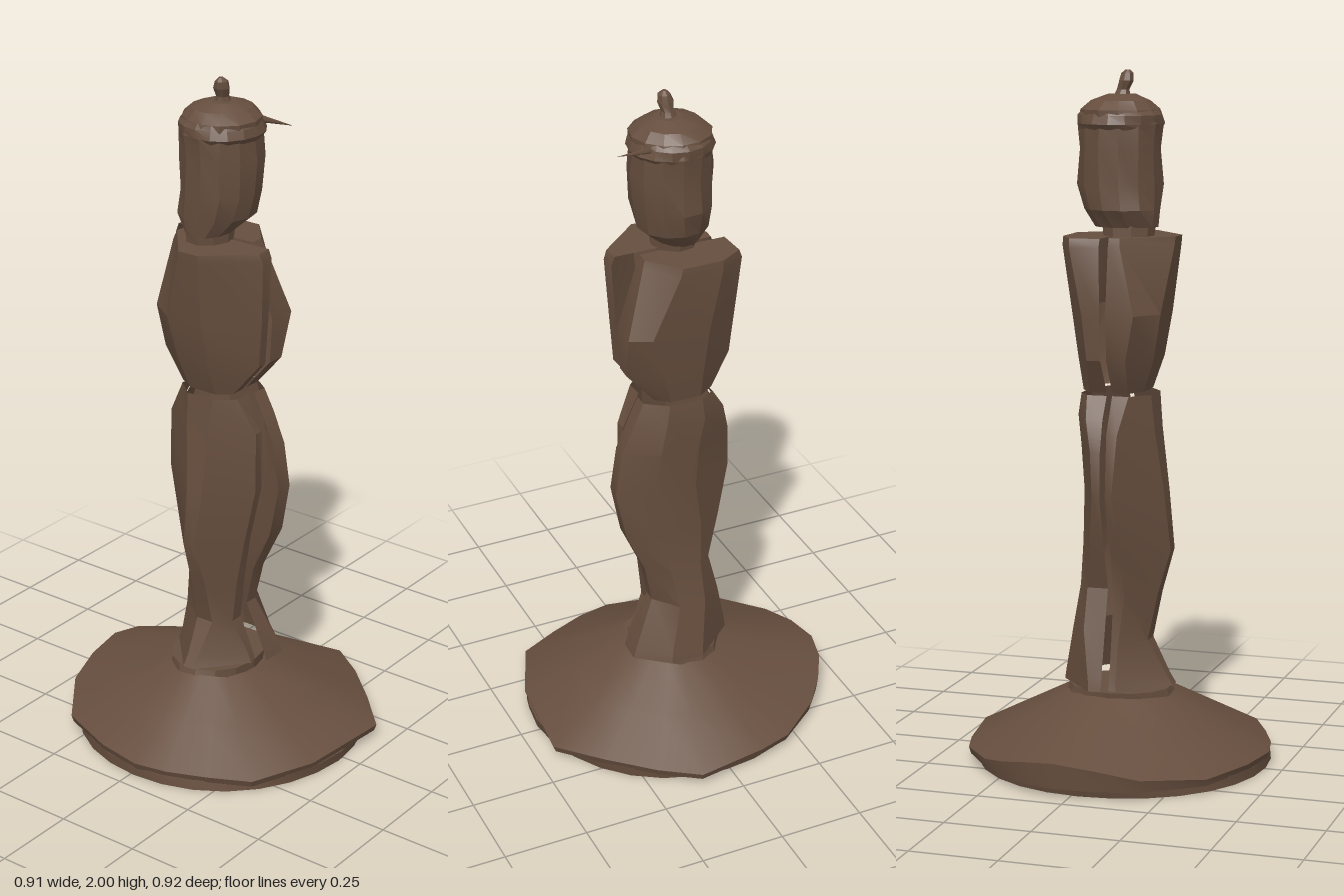
import * as THREE from 'three';
import { toCreasedNormals } from 'three/addons/utils/BufferGeometryUtils.js';

const bronze = new THREE.MeshStandardMaterial({ color: 0x664e3e });
bronze.name = 'darkBronze';
bronze.side = THREE.DoubleSide;

// Skin a stack of rings (bottom to top, running from +z towards +x).
// An open ring leaves out its last segment; caps are optional.
function loft(name, rings, { crease, open = false, bottom = false, top = false }) {
  const n = rings[0].length, index = [];
  for (let i = 0; i < rings.length - 1; i++) {
    for (let j = 0; j < (open ? n - 1 : n); j++) {
      const a = i * n + j, b = i * n + (j + 1) % n;
      index.push(a, b, a + n, b, b + n, a + n);
    }
  }
  const last = (rings.length - 1) * n;
  for (let k = 1; k < n - 1; k++) {
    if (bottom) index.push(0, k + 1, k);
    if (top) index.push(last, last + k, last + k + 1);
  }
  const geo = new THREE.BufferGeometry();
  geo.setAttribute('position', new THREE.Float32BufferAttribute(rings.flat(2), 3));
  geo.setIndex(index);
  const mesh = new THREE.Mesh(toCreasedNormals(geo, crease), bronze);
  mesh.name = name;
  return mesh;
}

// Half shell of the body, open at the middle seam.
// Each row is [y, outerX, frontZ, backZ, frontFullness, backFullness].
function halfShell(name, inner, rows, top) {
  const rings = rows.map(([y, outer, f, b, kf, kb]) => {
    const ring = [
      [inner, y, f * 0.98], [inner + (outer - inner) * kf, y, f], [outer, y, f * kf * 0.85],
      [outer, y, b * kb * 0.85], [inner + (outer - inner) * kb, y, b], [inner, y, b * 0.98],
    ];
    return outer < inner ? ring.reverse() : ring;
  });
  return loft(name, rings, { crease: 0.45, open: true, top });
}

// Slightly uneven oval rings; each row is [y, centreX, centreZ, radiusX, radiusZ].
function roughOval(name, rows, sides, rough, caps = {}) {
  const rings = rows.map(([y, cx, cz, rx, rz], i) =>
    Array.from({ length: sides }, (_, j) => {
      const t = (j / sides) * Math.PI * 2;
      const s = 1 + rough * Math.sin(j * 5.3 + i * 2.7);
      return [cx + rx * s * Math.sin(t), y, cz + rz * s * Math.cos(t)];
    }));
  return loft(name, rings, { crease: 0.3, ...caps });
}

export function createModel() {
  const model = new THREE.Group();
  model.name = 'statuette';

  // Sloping base with an irregular rim, lifted at one point of the back
  const rim = [
    [0.15, 0.455], [0.27, 0.34], [0.38, 0.22], [0.455, 0.11], [0.42, -0.1], [0.39, -0.2],
    [0.29, -0.33], [0.21, -0.395], [0.13, -0.44], [0.04, -0.46], [-0.08, -0.45],
    [-0.2, -0.42], [-0.36, -0.3], [-0.43, -0.12], [-0.455, 0.02], [-0.435, 0.12],
    [-0.39, 0.23], [-0.33, 0.35], [-0.14, 0.43],
  ];
  const rimY = (x, z) => 0.045 + (z < 0 ? 0.055 * Math.exp(-(((x - 0.04) / 0.22) ** 2)) *
    THREE.MathUtils.smoothstep(-z, 0.15, 0.45) : 0);
  const slope = (k) => rim.map(([x, z]) => [
    THREE.MathUtils.lerp(x, x * 0.34 - 0.012, k),
    THREE.MathUtils.lerp(rimY(x, z), 0.21, k),
    THREE.MathUtils.lerp(z, z * 0.3, k),
  ]);
  model.add(loft('baseSlope', [
    rim.map(([x, z]) => [x * 0.985, 0.025, z * 0.985]), slope(0), slope(0.5), slope(1),
  ], { crease: 0.6 }));

  // Round foot under the slope
  model.add(roughOval('baseFoot', [
    [0, -0.02, 0.01, 0.43, 0.43], [0.03, -0.015, 0.008, 0.432, 0.435],
  ], 28, 0.004, { bottom: true }));
  model.add(roughOval('footPlinth', [
    [0.195, -0.015, -0.01, 0.16, 0.13], [0.225, -0.015, -0.01, 0.155, 0.13],
  ], 14, 0.02, { top: true }));

  // Legs, one each side of a narrow slit
  const legs = new THREE.Group();
  legs.name = 'legs';
  legs.add(halfShell('leftLeg', 0, [
    [0.23, 0.15, 0.16, -0.16, 0.5, 0.25], [0.26, 0.145, 0.15, -0.155, 0.5, 0.27],
    [0.4, 0.115, 0.085, -0.12, 0.35, 0.55], [0.52, 0.095, 0.11, -0.09, 0.5, 0.65],
    [0.65, 0.085, 0.17, -0.13, 0.65, 0.5], [0.8, 0.088, 0.2, -0.17, 0.55, 0.25],
    [0.93, 0.095, 0.18, -0.165, 0.5, 0.3], [1.02, 0.098, 0.14, -0.14, 0.5, 0.5],
    [1.083, 0.09, 0.11, -0.1, 0.5, 0.65],
  ]));
  legs.add(halfShell('rightLeg', -0.016, [
    [0.23, -0.175, 0.13, -0.14, 0.15, 0.15], [0.26, -0.155, 0.12, -0.13, 0.18, 0.15],
    [0.36, -0.1, 0.075, -0.11, 0.5, 0.25], [0.5, -0.13, 0.09, -0.09, 0.35, 0.3],
    [0.63, -0.168, 0.11, -0.12, 0.2, 0.2], [0.8, -0.148, 0.15, -0.17, 0.25, 0.15],
    [0.98, -0.125, 0.15, -0.155, 0.3, 0.3], [1.083, -0.115, 0.1, -0.1, 0.55, 0.5],
  ]));
  model.add(legs);

  // Torso with folded arms, the shoulders turned against the elbows
  const torso = new THREE.Group();
  torso.name = 'torso';
  torso.add(halfShell('leftTorso', 0, [
    [1.092, 0.085, 0.08, -0.1, 0.6, 0.6], [1.19, 0.1, 0.165, -0.16, 0.5, 0.4],
    [1.32, 0.115, 0.172, -0.17, 0.75, 0.45], [1.51, 0.132, 0.11, -0.175, 0.35, 0.65],
    [1.535, 0.13, 0.1, -0.165, 0.3, 0.68],
  ], true));
  torso.add(halfShell('rightTorso', -0.016, [
    [1.092, -0.095, 0.08, -0.1, 0.6, 0.6], [1.19, -0.13, 0.16, -0.155, 0.3, 0.5],
    [1.32, -0.155, 0.17, -0.165, 0.25, 0.6], [1.51, -0.178, 0.18, -0.14, 0.28, 0.22],
    [1.535, -0.18, 0.17, -0.13, 0.3, 0.2],
  ], true));
  model.add(torso);

  // Neck and head
  model.add(roughOval('neck', [
    [1.53, -0.04, -0.02, 0.075, 0.065], [1.6, -0.04, -0.02, 0.08, 0.065],
  ], 9, 0.03));
  model.add(roughOval('head', [
    [1.56, -0.035, -0.02, 0.09, 0.065], [1.61, -0.018, -0.01, 0.113, 0.105],
    [1.68, -0.01, 0, 0.12, 0.116], [1.78, -0.01, 0, 0.12, 0.117],
    [1.85, -0.01, 0, 0.12, 0.117], [1.89, -0.01, 0, 0.115, 0.112],
    [1.915, -0.01, 0, 0.085, 0.085], [1.932, -0.012, 0.005, 0.04, 0.04],
  ], 13, 0.04, { bottom: true, top: true }));

  // Band around the brow
  model.add(roughOval('headBand', [
    [1.835, -0.01, 0, 0.118, 0.115], [1.85, -0.01, 0, 0.125, 0.121],
    [1.875, -0.01, 0, 0.121, 0.117], [1.89, -0.01, 0, 0.11, 0.106],
  ], 16, 0.025));

  // Bent top knot
  model.add(roughOval('topKnot', [
    [1.92, -0.01, 0.005, 0.028, 0.028], [1.945, -0.016, 0.005, 0.018, 0.018],
    [1.97, -0.024, 0.01, 0.022, 0.024], [1.99, -0.026, 0.01, 0.018, 0.018],
    [2.0, -0.028, 0.01, 0.007, 0.007],
  ], 8, 0.08, { top: true }));

  // Thin spike at the brow
  const spike = new THREE.Mesh(new THREE.ConeGeometry(0.01, 0.1, 4), bronze);
  spike.name = 'browSpike';
  spike.rotation.x = Math.PI / 2;
  spike.position.set(0.06, 1.875, 0.14);
  model.add(spike);

  return model;
}
